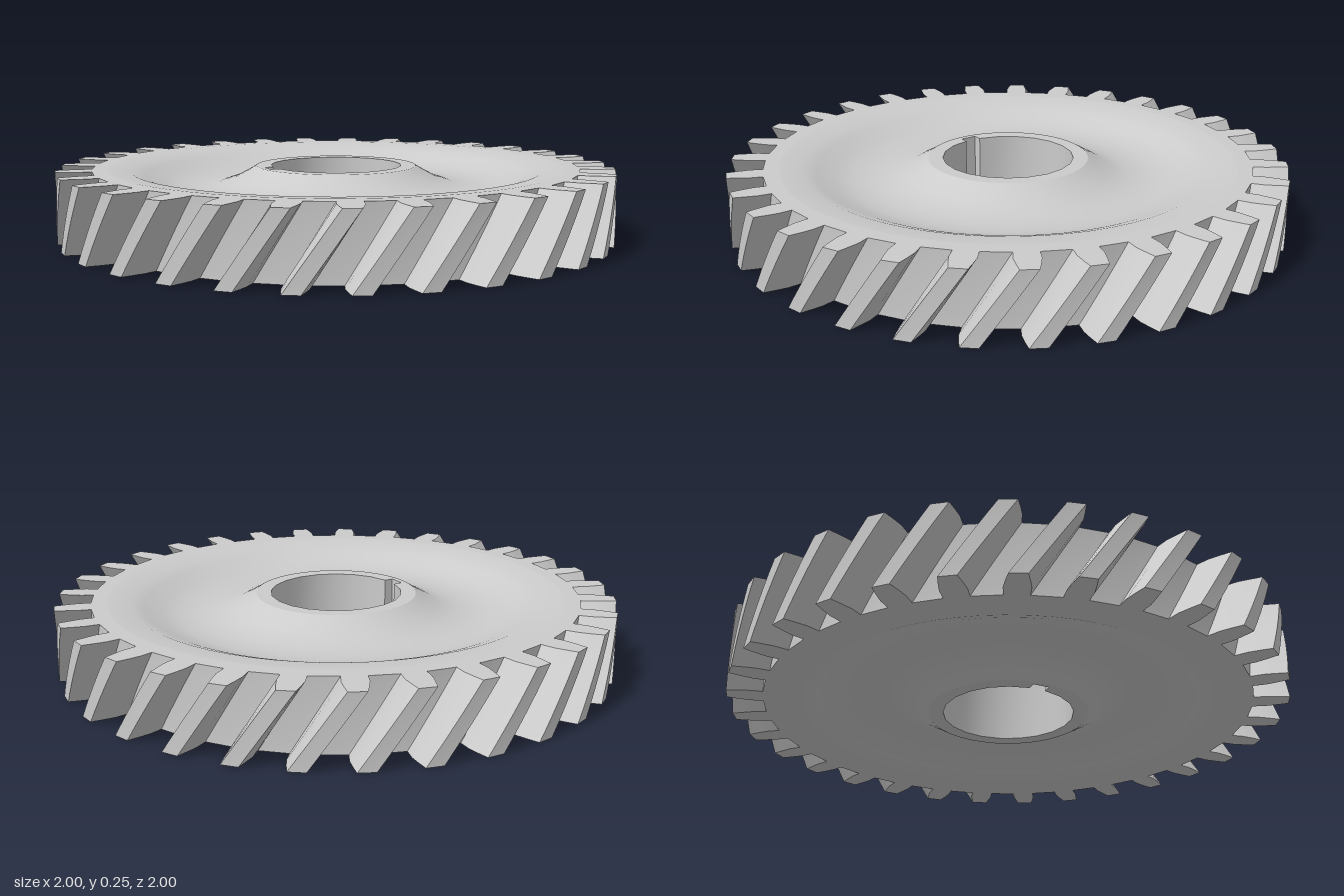
import * as THREE from 'three';
import { toCreasedNormals } from 'three/addons/utils/BufferGeometryUtils.js';

const TEETH = 31, HEIGHT = 0.25, TWIST = THREE.MathUtils.degToRad(10);
const SEGMENTS = 62, HUB_R = 0.29, RIM_R = 0.82;

// Point in plan: angle runs counter-clockwise seen from above
const polar = (r, a) => new THREE.Vector2(r * Math.cos(a), r * Math.sin(a));
const circle = (r) => Array.from({ length: SEGMENTS }, (_, i) => polar(r, (i / SEGMENTS) * Math.PI * 2 - Math.PI / 2));

// Toothed outline, turned by an angle
function toothOutline(turn) {
  const flank = [[0.875, 0.046], [0.92, 0.046], [0.96, 0.038], [1, 0.029]]; // radius, half angle
  const pts = [];
  for (let i = 0; i < TEETH; i++) {
    const a = turn + ((i + 0.5) / TEETH) * Math.PI * 2;
    flank.forEach(([r, h]) => pts.push(polar(r, a - h)));
    [...flank].reverse().forEach(([r, h]) => pts.push(polar(r, a + h)));
  }
  return pts;
}

// Bore outline with a rectangular keyway on the -x side
function boreOutline() {
  const r = 0.237, half = 0.03, n = 20, gap = Math.asin(half / r);
  const pts = [];
  for (let i = 0; i <= n; i++) pts.push(polar(r, -Math.PI + gap + (i / n) * 2 * (Math.PI - gap)));
  pts.push(new THREE.Vector2(-0.268, half), new THREE.Vector2(-0.268, -half));
  return pts;
}

// Wall through a stack of equal-length outlines, bottom to top
function wall(loops, crease) {
  const pos = [];
  const put = (k, i) => {
    const p = loops[k][i % loops[k].length];
    pos.push(p.x, (HEIGHT * k) / (loops.length - 1), -p.y);
  };
  for (let k = 0; k < loops.length - 1; k++) {
    for (let i = 0; i < loops[k].length; i++) {
      put(k, i); put(k, i + 1); put(k + 1, i + 1);
      put(k, i); put(k + 1, i + 1); put(k + 1, i);
    }
  }
  const g = new THREE.BufferGeometry();
  g.setAttribute('position', new THREE.Float32BufferAttribute(pos, 3));
  return toCreasedNormals(g, crease);
}

// Flat ring face, on top or underneath
function face(outer, inner, top) {
  const place = (pts) => pts.map((p) => new THREE.Vector2(p.x, top ? p.y : -p.y));
  const shape = new THREE.Shape(place(outer));
  shape.holes.push(new THREE.Path(place(inner)));
  const g = new THREE.ShapeGeometry(shape);
  g.rotateX(top ? -Math.PI / 2 : Math.PI / 2);
  return g.translate(0, top ? HEIGHT : 0, 0);
}

// Dished web between hub and rim
function web(top) {
  const profile = [[HUB_R, 0], [0.32, 0.018], [0.37, 0.045], [0.43, 0.064], [0.5, 0.07],
    [0.57, 0.066], [0.63, 0.05], [0.69, 0.025], [0.74, 0.007], [RIM_R, 0]];
  const pts = profile.map(([r, d]) => new THREE.Vector2(r, top ? HEIGHT - d : d));
  return new THREE.LatheGeometry(top ? pts.reverse() : pts, SEGMENTS);
}

export function createModel() {
  const gear = new THREE.Group();
  gear.name = 'helicalGear';
  const material = new THREE.MeshStandardMaterial({ color: 0xcccccc });
  const add = (name, geometry) => {
    const mesh = new THREE.Mesh(geometry, material);
    mesh.name = name;
    gear.add(mesh);
  };

  // Helical teeth: the outline turns steadily with height
  const topTurn = THREE.MathUtils.degToRad(91);
  const steps = 6;
  const loops = Array.from({ length: steps + 1 }, (_, k) => toothOutline(topTurn - TWIST * (1 - k / steps)));
  add('helicalTeeth', wall(loops, 0.45));

  // Bore wall faces inward, so its outline is reversed
  const bore = boreOutline();
  const inward = [...bore].reverse();
  add('keyedBore', wall([inward, inward], 0.5));

  // Rim, web and hub faces on both sides
  for (const top of [true, false]) {
    const side = top ? 'top' : 'bottom';
    add(side + 'RimFace', face(top ? loops[steps] : loops[0], circle(RIM_R), top));
    add(side + 'Web', web(top));
    add(side + 'HubFace', face(circle(HUB_R), bore, top));
  }
  return gear;
}
